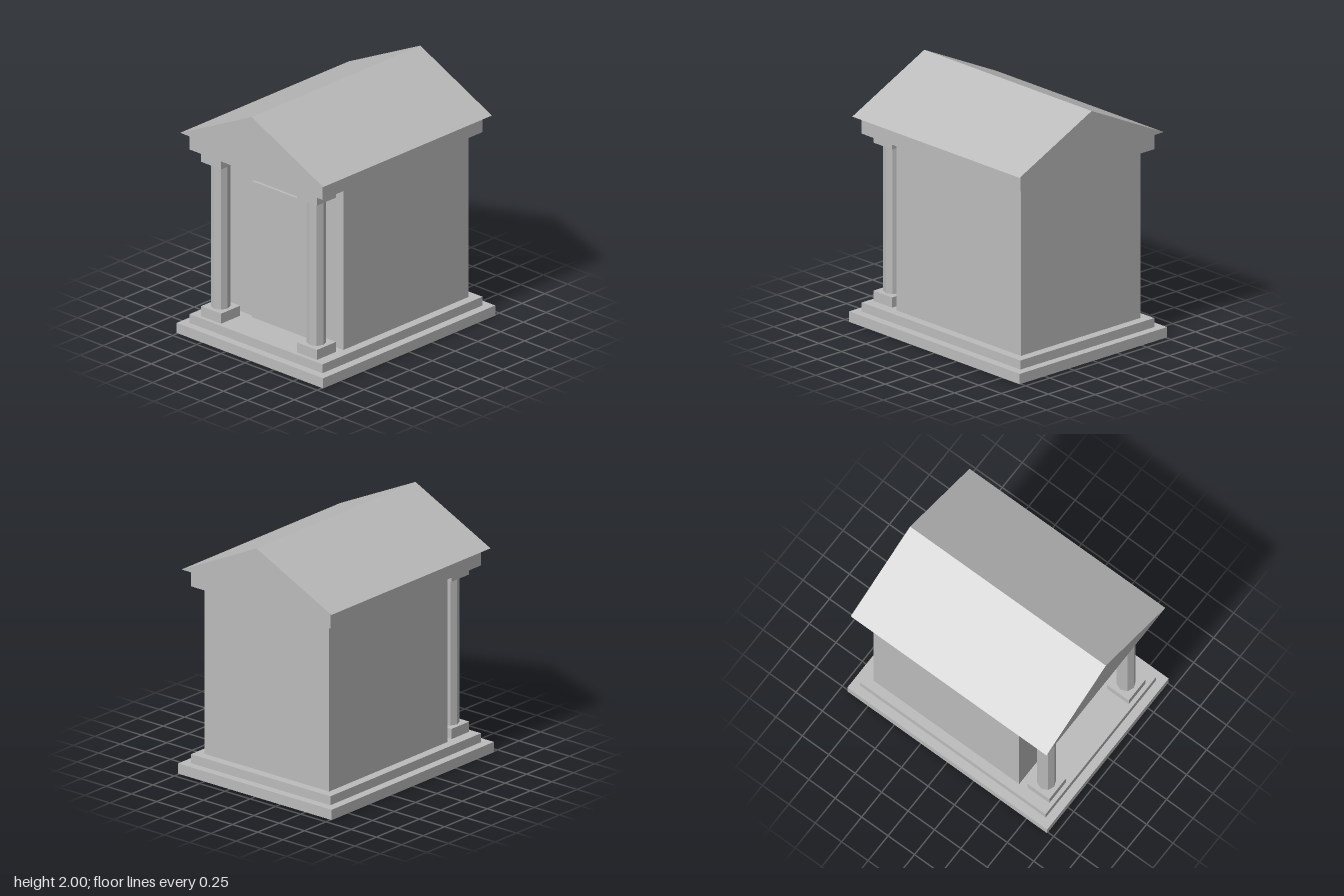
import * as THREE from 'three';

export function createModel() {
  const model = new THREE.Group();
  model.name = 'columnedShrine';
  const stone = new THREE.MeshStandardMaterial({ color: 0xbbbbbb, flatShading: true });
  stone.name = 'grey stone';

  const add = (name, geometry, parent = model) => {
    const mesh = new THREE.Mesh(geometry, stone);
    mesh.name = name;
    parent.add(mesh);
    return mesh;
  };
  // Box given by its half width, height range and depth range
  const block = (name, halfX, y0, y1, z0, z1, parent) => {
    const mesh = add(name, new THREE.BoxGeometry(halfX * 2, y1 - y0, z1 - z0), parent);
    mesh.position.set(0, (y0 + y1) / 2, (z0 + z1) / 2);
    return mesh;
  };

  // Stepped base
  block('lowerStep', 0.76, 0, 0.083, -0.945, 0.945);
  block('upperStep', 0.69, 0.083, 0.155, -0.878, 0.878);

  // Chamber with its door and the panel above it
  block('chamber', 0.617, 0.155, 1.51, -0.805, 0.572);
  block('door', 0.31, 0.155, 1.275, 0.572, 0.596);
  block('namePanel', 0.262, 1.335, 1.465, 0.572, 0.581);

  // Eight-sided columns with square base and capital
  for (const [name, x] of [['leftColumn', 0.497], ['rightColumn', -0.497]]) {
    const column = new THREE.Group();
    column.name = name;
    column.position.x = x;
    block('columnBase', 0.104, 0.155, 0.237, 0.637, 0.845, column);
    block('columnCapital', 0.104, 1.425, 1.51, 0.637, 0.845, column);
    const shaft = add('columnShaft', new THREE.CylinderGeometry(0.073, 0.073, 1.188, 8), column);
    shaft.position.set(0, 0.831, 0.741);
    model.add(column);
  }

  // Entablature under the roof
  block('entablature', 0.69, 1.51, 1.647, -0.878, 0.878);

  // Gabled roof, a triangle drawn along z
  const gable = new THREE.Shape([
    new THREE.Vector2(-0.743, 1.647),
    new THREE.Vector2(0.743, 1.647),
    new THREE.Vector2(0, 2),
  ]);
  const roof = new THREE.ExtrudeGeometry(gable, { depth: 1.852, bevelEnabled: false });
  roof.translate(0, 0, -0.926);
  add('gabledRoof', roof);

  return model;
}
